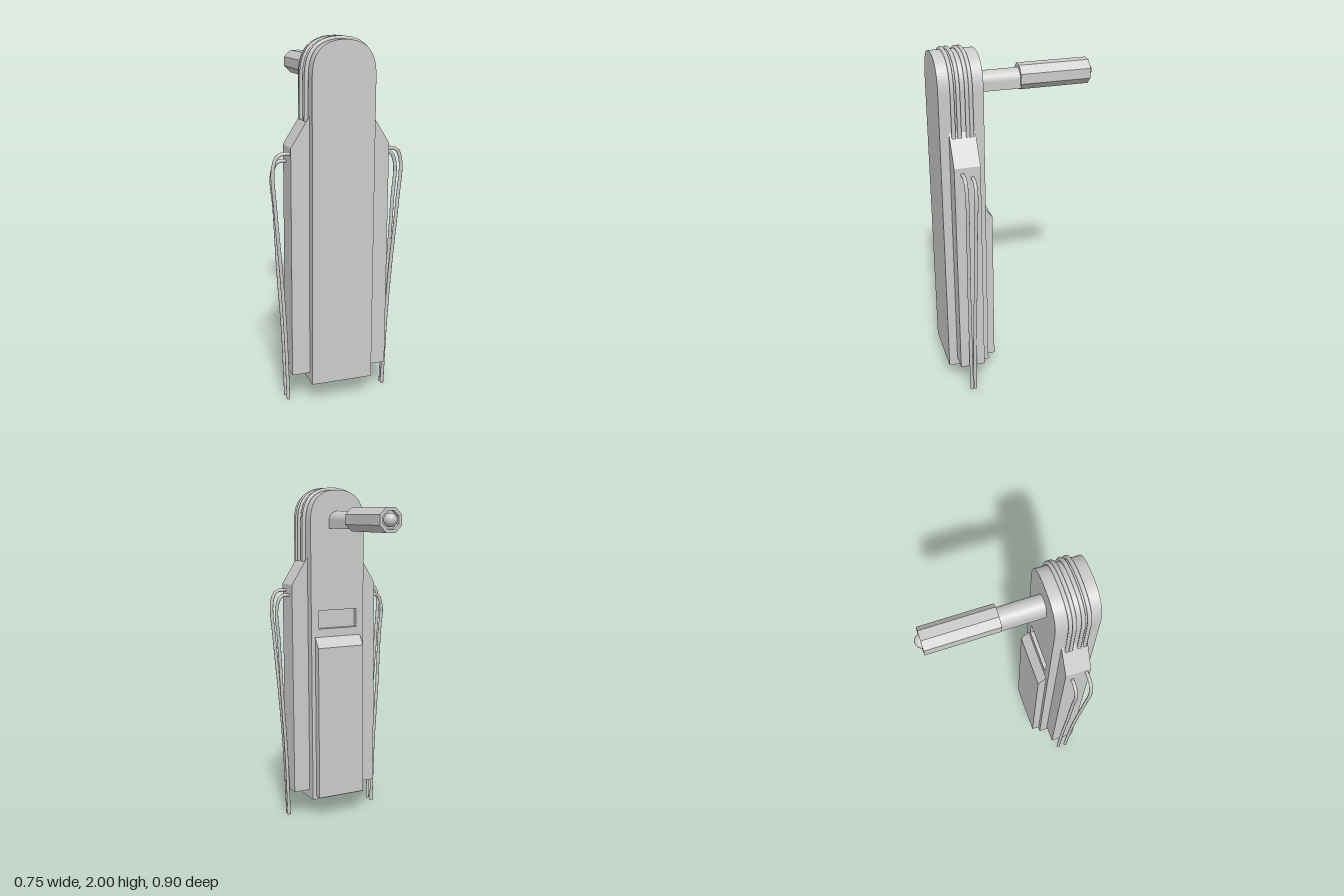
import * as THREE from 'three';

const CX = -0.004; // centre line of the body
const V = (x, y, z) => new THREE.Vector3(x, y, z);

export function createModel() {
  const model = new THREE.Group();
  const grey = new THREE.MeshStandardMaterial({ color: 0xcccccc });
  const flat = new THREE.MeshStandardMaterial({ color: 0xcccccc, flatShading: true });

  function add(name, geometry, material = grey, x = 0, y = 0, z = 0) {
    const mesh = new THREE.Mesh(geometry, material);
    mesh.name = name;
    mesh.position.set(x, y, z);
    model.add(mesh);
    return mesh;
  }
  const extrude = (shape, depth) =>
    new THREE.ExtrudeGeometry(shape, { depth, bevelEnabled: false, curveSegments: 16 });
  const polygon = (pts) => new THREE.Shape(pts.map(([x, y]) => new THREE.Vector2(x, y)));

  // Tall body with an arched top
  function bodyShape() {
    const s = new THREE.Shape();
    s.moveTo(-0.174, 0.11);
    s.lineTo(0.174, 0.11);
    s.lineTo(0.174, 1.8);
    s.bezierCurveTo(0.174, 1.93, 0.11, 1.985, 0, 1.985);
    s.bezierCurveTo(-0.11, 1.985, -0.174, 1.93, -0.174, 1.8);
    s.closePath();
    return s;
  }
  add('body', extrude(bodyShape(), 0.21), grey, CX, 0, 0.24);

  // Back layer, cut through by the slot
  const back = bodyShape();
  back.holes.push(polygon([[-0.125, 1.17], [-0.125, 1.28], [0.125, 1.28], [0.125, 1.17]]));
  add('slottedBack', extrude(back, 0.03), grey, CX, 0, 0.21);

  // Side blocks with sloping shoulders
  const sides = polygon([[-0.275, 0.16], [0.275, 0.16], [0.275, 1.435],
    [0.174, 1.595], [-0.174, 1.595], [-0.275, 1.435]]);
  add('sideBlocks', extrude(sides, 0.142), flat, CX, 0, 0.259);

  // Raised back panel with a sloping top edge: profile in (z, y), extruded along x
  const panel = extrude(polygon([[0.165, 0.13], [0.215, 0.13], [0.215, 1.12], [0.21, 1.12], [0.165, 1.06]]), 0.3);
  panel.rotateY(-Math.PI / 2); // profile x becomes z, depth runs to -x
  add('backPanel', panel, flat, CX + 0.15, 0, 0);

  // Cords laid over the arched top
  for (const z of [0.283, 0.304, 0.35, 0.381]) {
    const path = new THREE.CurvePath();
    path.add(new THREE.LineCurve3(V(-0.187, 1.57, z + 0.003), V(-0.184, 1.8, z + 0.002)));
    path.add(new THREE.CubicBezierCurve3(V(-0.184, 1.8, z + 0.002), V(-0.182, 1.935, z + 0.002),
      V(-0.115, 1.989, z), V(0, 1.989, z)));
    path.add(new THREE.CubicBezierCurve3(V(0, 1.989, z), V(0.115, 1.989, z),
      V(0.182, 1.935, z - 0.002), V(0.184, 1.8, z - 0.002)));
    path.add(new THREE.LineCurve3(V(0.184, 1.8, z - 0.002), V(0.187, 1.57, z - 0.003)));
    add('topCord', new THREE.TubeGeometry(path, 60, 0.011, 10), grey, CX, 0, 0);
  }

  // Cords hanging from the sides: side, exit height, reach, z at the top, z at the foot
  const hanging = [
    [1, 1.40, 0.365, 0.358, 0.343],
    [1, 1.375, 0.355, 0.304, 0.322],
    [-1, 1.405, 0.365, 0.378, 0.36],
    [-1, 1.355, 0.352, 0.302, 0.31],
  ];
  for (const [side, y, reach, zTop, zFoot] of hanging) {
    const mix = (t) => zTop + (zFoot - zTop) * t;
    const path = new THREE.CatmullRomCurve3([
      V(side * 0.25, y - 0.01, zTop), V(side * 0.29, y, zTop),
      V(side * (reach - 0.025), y - 0.012, zTop), V(side * reach, y - 0.08, mix(0.05)),
      V(side * (reach - 0.012), 1.1, mix(0.25)), V(side * 0.324, 0.75, mix(0.5)),
      V(side * 0.302, 0.4, mix(0.8)), V(side * 0.288, 0, zFoot),
    ]);
    add(side > 0 ? 'leftHangingCord' : 'rightHangingCord',
      new THREE.TubeGeometry(path, 60, 0.01, 10), grey, CX, 0, 0);
    const foot = add('cordEnd', new THREE.CircleGeometry(0.01, 10), grey, CX + side * 0.288, 0.0005, zFoot);
    foot.rotation.x = Math.PI / 2;
  }

  // Handle stem: flat underneath, rounded on top
  const stem = new THREE.Shape();
  stem.moveTo(-0.054, -0.05);
  stem.lineTo(0.054, -0.05);
  stem.lineTo(0.054, -0.004);
  stem.absarc(0, -0.004, 0.054, 0, Math.PI, false);
  stem.closePath();
  add('handleStem', extrude(stem, 0.25), grey, CX, 1.812, -0.03);

  // Octagonal grip, hollow at its far end
  const octagon = (r) => polygon(Array.from({ length: 8 }, (_, i) => {
    const a = (i + 0.5) * Math.PI / 4;
    return [r * Math.cos(a), r * Math.sin(a)];
  }));
  const rim = octagon(0.072);
  rim.holes.push(octagon(0.052));
  add('grip', extrude(octagon(0.072), 0.37), flat, CX, 1.815, -0.395);
  add('gripRim', extrude(rim, 0.025), flat, CX, 1.815, -0.42);
  add('gripBall', new THREE.SphereGeometry(0.037, 20, 14), grey, CX, 1.815, -0.413);

  return model;
}
